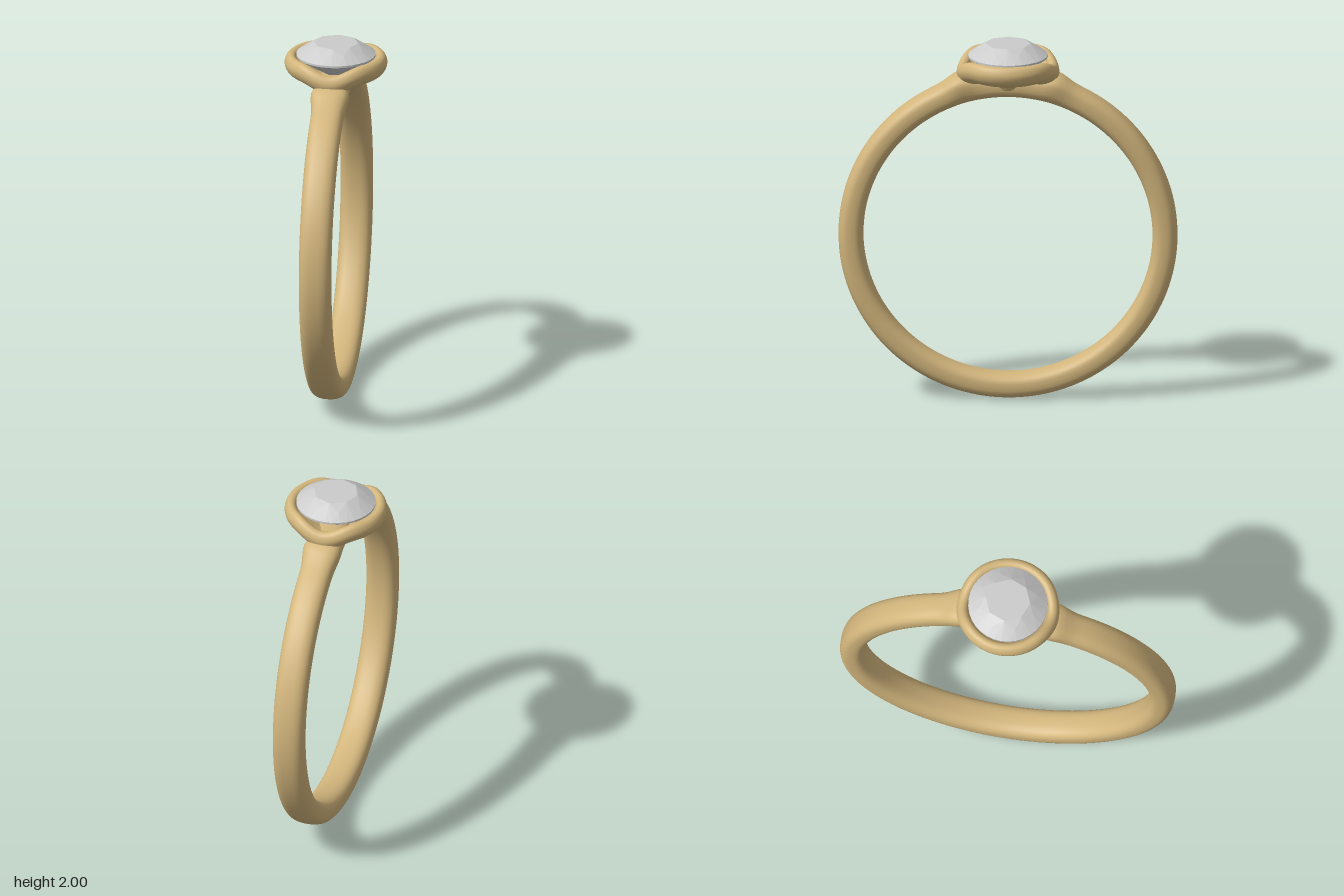
import * as THREE from 'three';
import { mergeVertices } from 'three/addons/utils/BufferGeometryUtils.js';
import { ConvexGeometry } from 'three/addons/geometries/ConvexGeometry.js';

const CENTRE_Y = 0.92;
const gold = new THREE.MeshStandardMaterial({ color: 0xd2b57c });
const grey = new THREE.MeshStandardMaterial({ color: 0xcccccc });

// Move every vertex by a rule, then weld the seams and smooth the normals
function reshape(geometry, rule) {
  const p = geometry.attributes.position;
  const v = new THREE.Vector3();
  for (let i = 0; i < p.count; i++) {
    rule(v.fromBufferAttribute(p, i));
    p.setXYZ(i, v.x, v.y, v.z);
  }
  geometry.deleteAttribute('uv');
  geometry.deleteAttribute('normal');
  const welded = mergeVertices(geometry, 1e-5);
  welded.computeVertexNormals();
  return welded;
}

function part(name, geometry, material) {
  const mesh = new THREE.Mesh(geometry, material);
  mesh.name = name;
  return mesh;
}

// Band: a torus with a softly squared section that swells into two shoulders under the setting
function makeBand() {
  const R = 0.852, t = 0.068, halfWidth = 0.088;
  const soften = (k) => Math.sign(k) * Math.pow(Math.abs(k), 0.76);
  const torus = new THREE.TorusGeometry(R, t, 32, 160).rotateY(Math.PI / 2);
  return reshape(torus, (v) => {
    const angle = Math.atan2(v.z, v.y);
    const c = soften((Math.hypot(v.y, v.z) - R) / t);
    const s = soften(v.x / t);
    const swell = Math.exp(-(((Math.abs(angle) - 0.29) / 0.085) ** 2));
    const outer = (c + 1) / 2;
    const r = R + t * c + 0.03 * swell * outer;
    v.set(s * (halfWidth + 0.028 * swell * outer), CENTRE_Y + r * Math.cos(angle), r * Math.sin(angle));
  });
}

// Bezel: a turned cup with a rolled rim that dips where it meets the band
function makeBezel() {
  const profile = new THREE.SplineCurve([
    [0, 1.74], [0.08, 1.75], [0.105, 1.782], [0.16, 1.802], [0.22, 1.816], [0.262, 1.843],
    [0.279, 1.885], [0.268, 1.922], [0.245, 1.936], [0.222, 1.926], [0.208, 1.895],
    [0.15, 1.85], [0.08, 1.81], [0, 1.8],
  ].map(([r, y]) => new THREE.Vector2(r, y))).getPoints(60);
  profile.forEach((p) => { p.x = Math.max(p.x, 0); });
  profile[0].x = profile[profile.length - 1].x = 0;
  return reshape(new THREE.LatheGeometry(profile, 96), (v) => {
    const r = Math.hypot(v.x, v.z);
    const across = r > 1e-4 ? Math.abs(v.x) / r : 0;
    const dip = 1 - THREE.MathUtils.smoothstep(across, 0, 0.72);
    v.y -= 0.048 * dip * THREE.MathUtils.smoothstep(r, 0.08, 0.2);
  });
}

// Stone: rings of points whose hull gives the table, crown, girdle and pavilion facets
function makeStone() {
  const points = [new THREE.Vector3(0, 1.79, 0)];
  const ring = (count, radius, y, turn) => {
    for (let i = 0; i < count; i++) {
      const a = ((i + turn) / count) * Math.PI * 2;
      points.push(new THREE.Vector3(radius * Math.sin(a), y, radius * Math.cos(a)));
    }
  };
  ring(8, 0.122, 2.0, 0);
  ring(8, 0.167, 1.971, 0.5);
  ring(32, 0.216, 1.937, 0);
  ring(32, 0.216, 1.926, 0);
  ring(8, 0.11, 1.855, 0.5);
  return new ConvexGeometry(points);
}

export function createModel() {
  const group = new THREE.Group();
  group.name = 'ring';
  group.add(
    part('band', makeBand(), gold),
    part('bezel', makeBezel(), gold),
    part('stone', makeStone(), grey),
  );
  return group;
}
